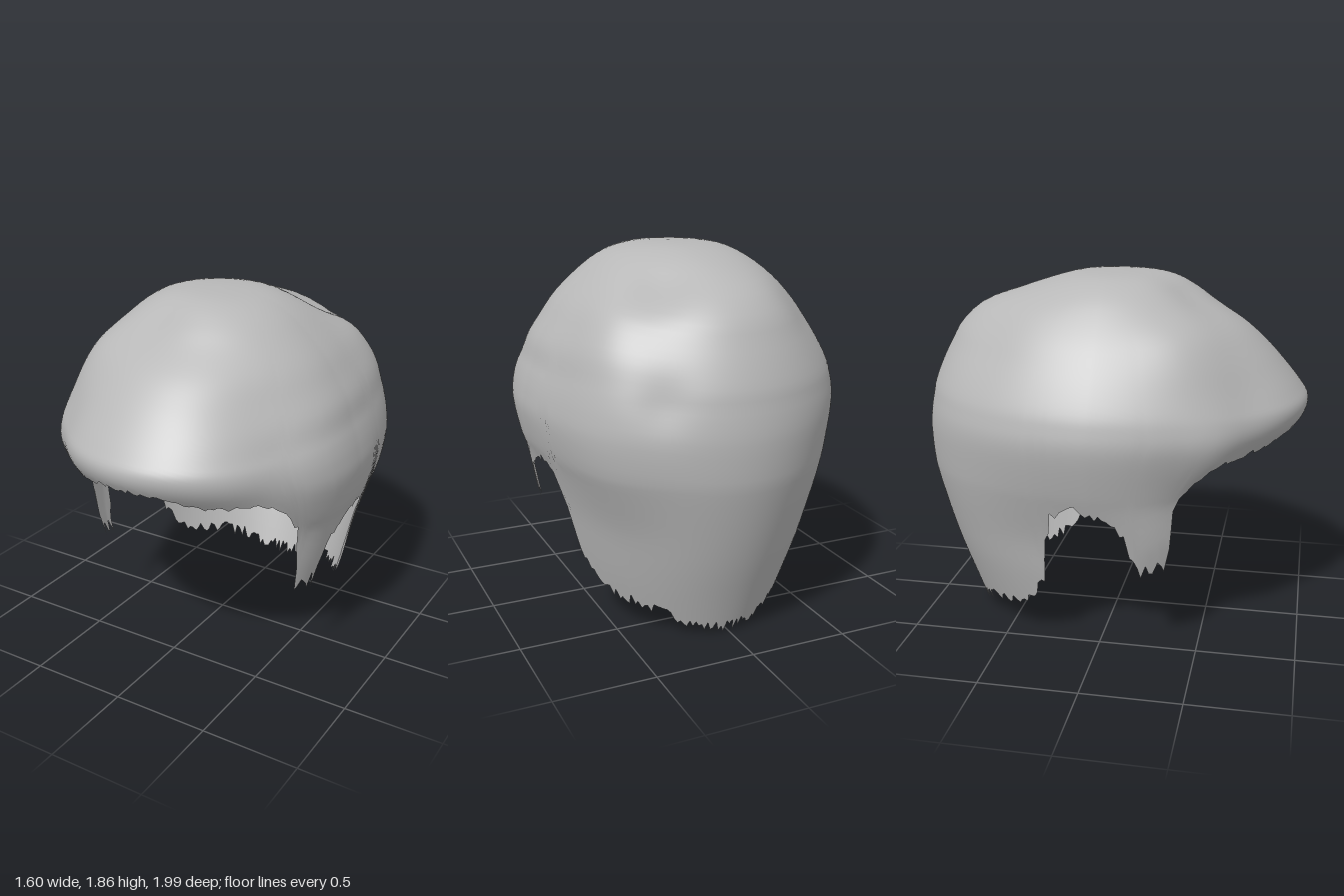
import * as THREE from 'three';

// Horizontal sections from crown to nape: y, front z, back z, -x reach, +x reach
const SECTIONS = [
  [1.87, 0, 0, 0, 0],
  [1.862, 0.19, 0.17, 0.19, 0.14],
  [1.835, 0.31, 0.30, 0.31, 0.27],
  [1.78, 0.41, 0.48, 0.41, 0.38],
  [1.70, 0.52, 0.69, 0.50, 0.48],
  [1.60, 0.67, 0.81, 0.59, 0.58],
  [1.50, 0.78, 0.87, 0.66, 0.65],
  [1.40, 0.87, 0.92, 0.72, 0.71],
  [1.30, 0.95, 0.96, 0.77, 0.74],
  [1.23, 0.99, 0.975, 0.79, 0.765],
  [1.15, 0.97, 0.99, 0.80, 0.785],
  [1.05, 0.89, 1.00, 0.785, 0.795],
  [0.90, 0.77, 0.995, 0.745, 0.77],
  [0.80, 0.72, 0.98, 0.71, 0.735],
  [0.60, 0.73, 0.93, 0.64, 0.68],
  [0.40, 0.70, 0.87, 0.60, 0.64],
  [0.20, 0.66, 0.80, 0.55, 0.59],
  [0.00, 0.62, 0.73, 0.48, 0.52],
];

// Hem height by angle from the front: fringe, sideburn, ear notch, nape
const HEM = [
  [0, 1.14], [12, 1.13], [26, 1.07], [45, 1.05], [52, 1.0], [57, 0.85], [62, 0.56],
  [73, 0.5], [76, 0.65], [83, 0.76], [90, 0.81], [97, 0.82], [102, 0.78], [105, 0.6],
  [108, 0.36], [120, 0.2], [139, 0.16], [155, 0.11], [165, 0.06], [180, 0.05],
];

// Soft hollows (+) and swells (-) of the locks: x, y, z, radius, depth
const RELIEF = [
  [0.58, 1.30, -0.62, 0.28, -0.045], [0.58, 0.90, -0.66, 0.28, -0.04],
  [0.52, 1.54, -0.50, 0.20, -0.035], [0.26, 1.74, -0.50, 0.17, 0.05],
  [0.42, 1.25, -0.88, 0.13, 0.02], [-0.42, 1.56, -0.55, 0.2, 0.02],
  [-0.45, 1.56, 0.40, 0.22, -0.035], [-0.12, 1.78, 0.38, 0.15, 0.02],
  [-0.45, 1.27, 0.72, 0.18, 0.018], [-0.58, 1.06, 0.55, 0.15, -0.025],
  [0.52, 1.42, 0.50, 0.28, 0.045], [0.62, 1.18, 0.58, 0.2, 0.02],
  [-0.48, 0.60, -0.64, 0.3, -0.025], [-0.60, 0.58, 0.28, 0.22, -0.045],
  [0.64, 0.58, 0.28, 0.22, -0.02],
];

const COLUMNS = 240, ROWS = 44;

function sectionAt(u) {
  const last = SECTIONS.length - 1;
  const k = Math.min(Math.floor(u), last - 1), t = u - k;
  const at = (i) => SECTIONS[Math.max(0, Math.min(last, i))];
  return SECTIONS[0].map((_, c) => {
    const [p, q, r, s] = [at(k - 1)[c], at(k)[c], at(k + 1)[c], at(k + 2)[c]];
    return q + 0.5 * t * (r - p + t * (2 * p - 5 * q + 4 * r - s + t * (3 * (q - r) + s - p)));
  });
}

function hemAt(degrees) {
  const k = Math.max(1, HEM.findIndex((h) => h[0] >= degrees));
  const [a, ya] = HEM[k - 1], [b, yb] = HEM[k];
  return ya + (yb - ya) * (degrees - a) / (b - a);
}

// Section index at which the shell reaches height y
function indexOfHeight(y) {
  let lo = 0, hi = SECTIONS.length - 1;
  for (let i = 0; i < 30; i++) {
    const mid = (lo + hi) / 2;
    if (sectionAt(mid)[0] > y) lo = mid; else hi = mid;
  }
  return lo;
}

function shellPoint(u, a) {
  const [y, front, back, minus, plus] = sectionAt(u);
  const s = Math.sin(a), c = Math.cos(a);
  const lean = 0.07 * Math.min(1, front) * Math.max(0, c);
  const p = new THREE.Vector3((s > 0 ? plus : minus) * s + lean, y, (c > 0 ? front : back) * c);
  const inward = new THREE.Vector3(0, 1, 0).sub(p).normalize();
  let push = 0;
  for (const [x, hy, z, r, depth] of RELIEF) {
    const d2 = (p.x - x) ** 2 + (p.y - hy) ** 2 + (p.z - z) ** 2;
    push += depth * Math.exp(-d2 / (r * r));
  }
  return p.addScaledVector(inward, push);
}

function hairGeometry() {
  let seed = 7;
  const random = () => (seed = (seed * 16807) % 2147483647) / 2147483647;
  const positions = [], index = [];
  for (let i = 0; i < COLUMNS; i++) {
    const a = (i / COLUMNS) * Math.PI * 2;
    const degrees = Math.min(i, COLUMNS - i) * 360 / COLUMNS;
    const hem = hemAt(degrees);
    // Ragged strand tips, longest on the sideburns
    const ragged = degrees > 57 && degrees < 78 ? 0.14 : degrees < 55 ? 0.03 : 0.07;
    const end = indexOfHeight(hem);
    const tip = indexOfHeight(Math.max(0.005, hem + (random() - 0.6) * ragged));
    for (let j = 0; j <= ROWS; j++) {
      const u = j === ROWS ? tip : end * j / ROWS;
      positions.push(...shellPoint(u, a).toArray());
    }
  }
  const id = (i, j) => (i % COLUMNS) * (ROWS + 1) + j;
  for (let i = 0; i < COLUMNS; i++) {
    for (let j = 0; j < ROWS; j++) {
      index.push(id(i, j), id(i, j + 1), id(i + 1, j + 1));
      if (j > 0) index.push(id(i, j), id(i + 1, j + 1), id(i + 1, j));
    }
  }
  const geometry = new THREE.BufferGeometry();
  geometry.setAttribute('position', new THREE.Float32BufferAttribute(positions, 3));
  geometry.setIndex(index);
  geometry.computeVertexNormals();
  // One shared upright normal at the crown
  for (let i = 0; i < COLUMNS; i++) geometry.attributes.normal.setXYZ(id(i, 0), 0, 1, 0);
  return geometry;
}

export function createModel() {
  const group = new THREE.Group();
  group.name = 'hairpiece';
  const material = new THREE.MeshStandardMaterial({ color: 0xb8b8b8, side: THREE.DoubleSide });
  material.name = 'plain grey';
  const hair = new THREE.Mesh(hairGeometry(), material);
  hair.name = 'hairShell';
  group.add(hair);
  return group;
}
